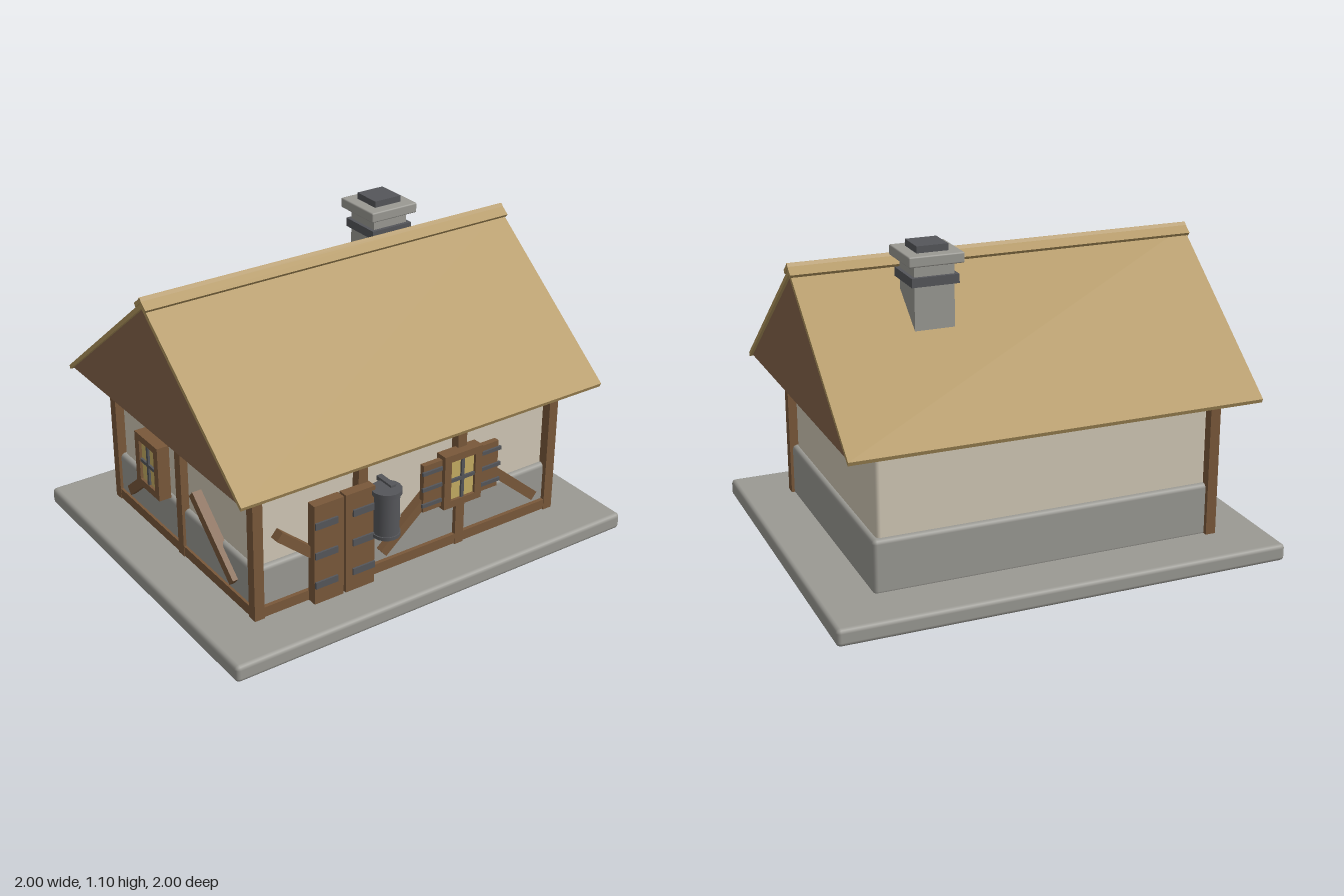
import * as THREE from 'three';
import { RoundedBoxGeometry } from 'three/addons/geometries/RoundedBoxGeometry.js';

const material = (name, color, side = THREE.FrontSide) => {
  const m = new THREE.MeshStandardMaterial({ color, side });
  m.name = name;
  return m;
};

export function createModel() {
  const stone = material('stone', 0x9a9993);
  const plaster = material('plaster', 0xd0c7b5);
  const thatch = material('thatch', 0xb0945d);
  const gableWood = material('gable wood', 0x85644a);
  const timber = material('timber', 0x79583a);
  const iron = material('iron', 0x55565a);
  const glass = material('amber glass', 0xc4ac62);

  const model = new THREE.Group();
  model.name = 'cottage';
  const house = new THREE.Group();
  house.name = 'house';
  house.rotation.y = Math.PI / 4;
  model.add(house);

  const add = (parent, name, geometry, mat, x, y, z) => {
    const mesh = new THREE.Mesh(geometry, mat);
    mesh.name = name;
    mesh.position.set(x, y, z);
    parent.add(mesh);
    return mesh;
  };
  const box = (parent, name, mat, w, h, d, x, y, z) =>
    add(parent, name, new THREE.BoxGeometry(w, h, d), mat, x, y, z);
  const rounded = (parent, name, mat, w, h, d, r, x, y, z) =>
    add(parent, name, new RoundedBoxGeometry(w, h, d, 2, r), mat, x, y, z);

  // Ground slab and walls
  rounded(house, 'groundSlab', stone, 1.57, 0.06, 1.28, 0.015, 0, 0.03, 0);
  rounded(house, 'foundation', stone, 1.205, 0.19, 0.905, 0.015, 0, 0.145, 0);
  rounded(house, 'plasterWalls', plaster, 1.17, 0.36, 0.87, 0.015, 0, 0.385, 0);

  // Roof: profiles drawn across the ridge (z, y) and extruded along it
  const alongRidge = (name, points, length, mat) => {
    const shape = new THREE.Shape(points.map(([z, y]) => new THREE.Vector2(-z, y)));
    const geometry = new THREE.ExtrudeGeometry(shape, { depth: length, bevelEnabled: false });
    geometry.translate(0, 0, -length / 2);
    geometry.rotateY(Math.PI / 2);
    return add(house, name, geometry, mat, 0, 0, 0);
  };
  alongRidge('gables', [[-0.555, 0.556], [0.555, 0.556], [0, 0.996]], 1.4, gableWood);
  for (const s of [-1, 1]) {
    alongRidge(s > 0 ? 'frontThatch' : 'backThatch',
      [[0, 1.012], [s * 0.567, 0.563], [s * 0.562, 0.55], [0, 0.992]], 1.42, thatch);
    const cap = box(house, 'ridgeCap', thatch, 1.43, 0.014, 0.05, 0, 1.009, s * 0.013);
    cap.rotation.x = s * 0.67;
  }

  // Chimney
  const chimney = new THREE.Group();
  chimney.name = 'chimney';
  chimney.position.set(0.304, 0, -0.163);
  house.add(chimney);
  box(chimney, 'chimneyStack', stone, 0.135, 0.28, 0.135, 0, 0.9, 0);
  box(chimney, 'chimneyBand', iron, 0.16, 0.03, 0.16, 0, 0.99, 0);
  rounded(chimney, 'chimneyCap', stone, 0.187, 0.035, 0.187, 0.005, 0, 1.06, 0);
  box(chimney, 'flue', iron, 0.106, 0.026, 0.106, 0, 1.087, 0);

  // Timber framing; each framed wall is a group facing its own +z
  const framedWall = (name, half, posts, braces) => {
    const wall = new THREE.Group();
    wall.name = name;
    house.add(wall);
    for (const x of posts) box(wall, 'post', timber, 0.036, 0.5, 0.036, x, 0.31, 0);
    for (const y of [0.082, 0.545]) box(wall, 'rail', timber, half * 2, 0.036, 0.033, 0, y, 0);
    for (const [x, dir] of braces) {
      const brace = box(wall, 'brace', timber, 0.32, 0.034, 0.034, x, 0.243, 0.01);
      brace.rotation.z = dir * Math.atan2(0.205, 0.24);
    }
    return wall;
  };
  const frontWall = framedWall('frontWall', 0.595, [-0.595, -0.2, 0.2, 0.595],
    [[-0.4, -1], [0, 1], [0.4, -1]]);
  frontWall.position.z = 0.45;
  const endWall = framedWall('endWall', 0.45, [-0.45, 0, 0.45], [[-0.225, 1], [0.22, -1]]);
  endWall.position.x = -0.595;
  endWall.rotation.y = -Math.PI / 2;

  // Windows
  const makeWindow = (wall, x, shutters) => {
    const g = new THREE.Group();
    g.name = 'window';
    g.position.set(x, 0.335, 0.025);
    wall.add(g);
    for (const s of [-1, 1]) {
      box(g, 'windowJamb', timber, 0.028, 0.2, 0.045, s * 0.064, 0, 0);
      box(g, 'windowRail', timber, 0.156, 0.026, 0.045, 0, s * 0.087, 0);
      if (!shutters) continue;
      box(g, 'shutter', timber, 0.075, 0.175, 0.02, s * 0.118, 0, 0);
      for (const y of [-0.06, 0, 0.06]) {
        box(g, 'shutterStrap', iron, 0.08, 0.013, 0.008, s * 0.123, y, 0.013);
      }
    }
    box(g, 'pane', glass, 0.102, 0.15, 0.025, 0, 0, 0);
    box(g, 'mullion', iron, 0.012, 0.15, 0.008, 0, 0, 0.016);
    box(g, 'glazingBar', iron, 0.104, 0.012, 0.008, 0, 0, 0.016);
  };
  makeWindow(frontWall, 0.185, true);
  makeWindow(endWall, -0.16, false);

  // Double door with iron straps
  for (const s of [-1, 1]) {
    const leaf = new THREE.Group();
    leaf.name = 'doorLeaf';
    leaf.position.set(-0.293 + s * 0.06, 0.247, 0.033);
    frontWall.add(leaf);
    box(leaf, 'doorBoard', timber, 0.112, 0.365, 0.036, 0, 0, 0);
    for (const y of [-0.11, 0, 0.11]) {
      box(leaf, 'doorStrap', iron, 0.085, 0.024, 0.009, s * 0.012, y, 0.02);
    }
  }

  // Hanging lantern
  const lantern = new THREE.Group();
  lantern.name = 'lantern';
  lantern.position.set(-0.14, 0, 0.062);
  frontWall.add(lantern);
  const drum = (name, r, h, y) =>
    add(lantern, name, new THREE.CylinderGeometry(r, r, h, 16), iron, 0, y, 0);
  drum('lanternBody', 0.044, 0.15, 0.325);
  drum('lanternLid', 0.051, 0.016, 0.406);
  drum('lanternFoot', 0.048, 0.012, 0.249);
  box(lantern, 'lanternBracket', iron, 0.02, 0.016, 0.08, 0.02, 0.414, -0.03);

  return model;
}
